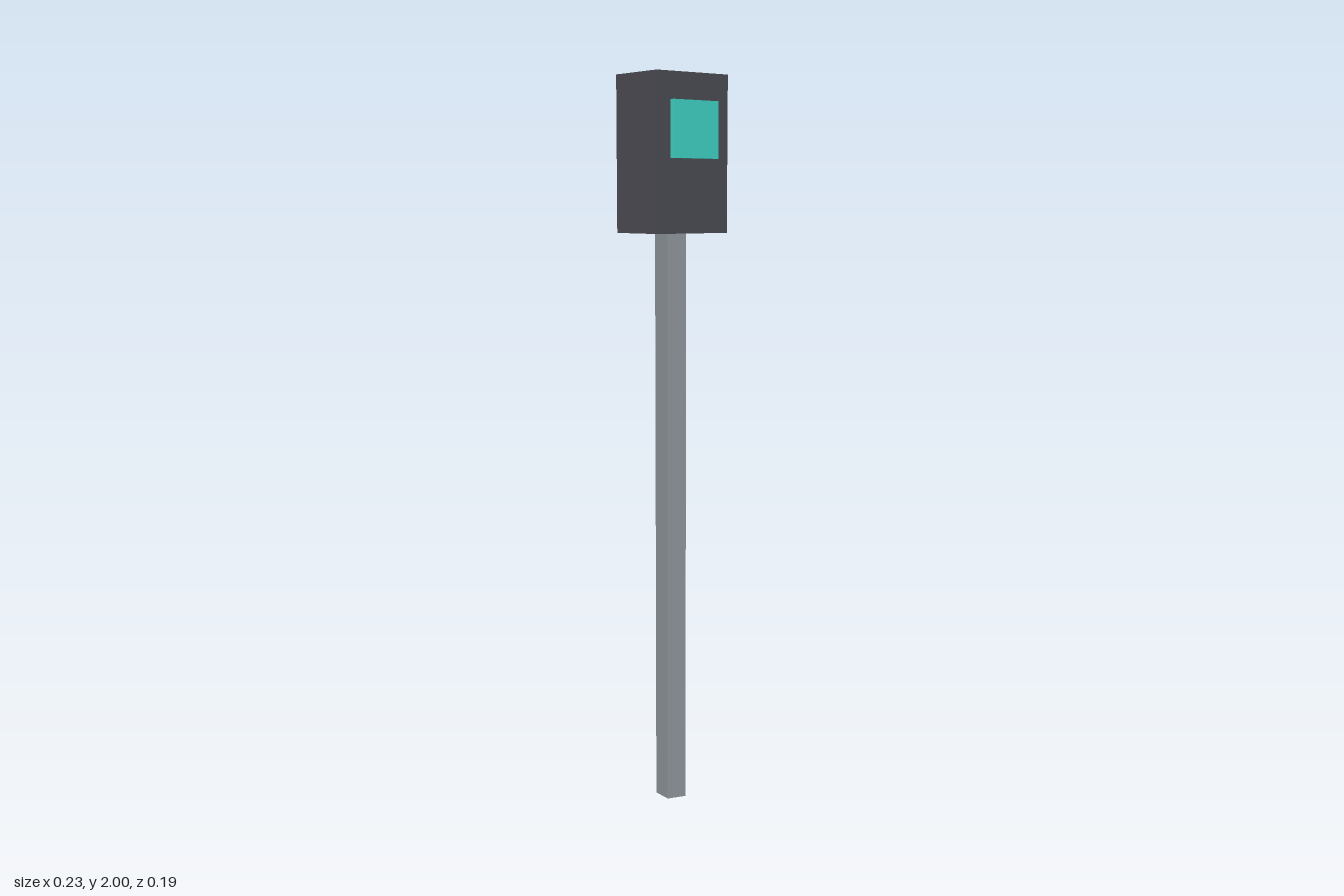
import * as THREE from 'three';

export function createModel() {
  const model = new THREE.Group();
  model.name = 'postBox';

  const paint = (name, color) => {
    const m = new THREE.MeshStandardMaterial({ color });
    m.name = name;
    return m;
  };
  const darkGrey = paint('darkGrey', 0x4a4a52);
  const steelGrey = paint('steelGrey', 0x899096);
  steelGrey.flatShading = true;
  const turquoise = paint('turquoise', 0x40d0c2);

  const add = (name, geometry, material, x, y, z) => {
    const mesh = new THREE.Mesh(geometry, material);
    mesh.name = name;
    mesh.position.set(x, y, z);
    model.add(mesh);
    return mesh;
  };

  const top = 2, boxHeight = 0.41, boxDepth = 0.176, axisZ = -0.008;
  const poleHeight = top - boxHeight;

  // Five-sided pole with one edge pointing to +x
  const pole = add('pole', new THREE.CylinderGeometry(0.0455, 0.0455, poleHeight, 5),
    steelGrey, 0, poleHeight / 2, axisZ);
  pole.rotation.y = Math.PI / 2;

  // Housing on top of the pole
  add('housing', new THREE.BoxGeometry(0.234, boxHeight, boxDepth),
    darkGrey, 0, top - boxHeight / 2, axisZ);

  // Raised screen on the front of the housing
  add('screen', new THREE.BoxGeometry(0.147, 0.147, 0.015),
    turquoise, 0, 1.856, axisZ + boxDepth / 2 + 0.0075);

  return model;
}
